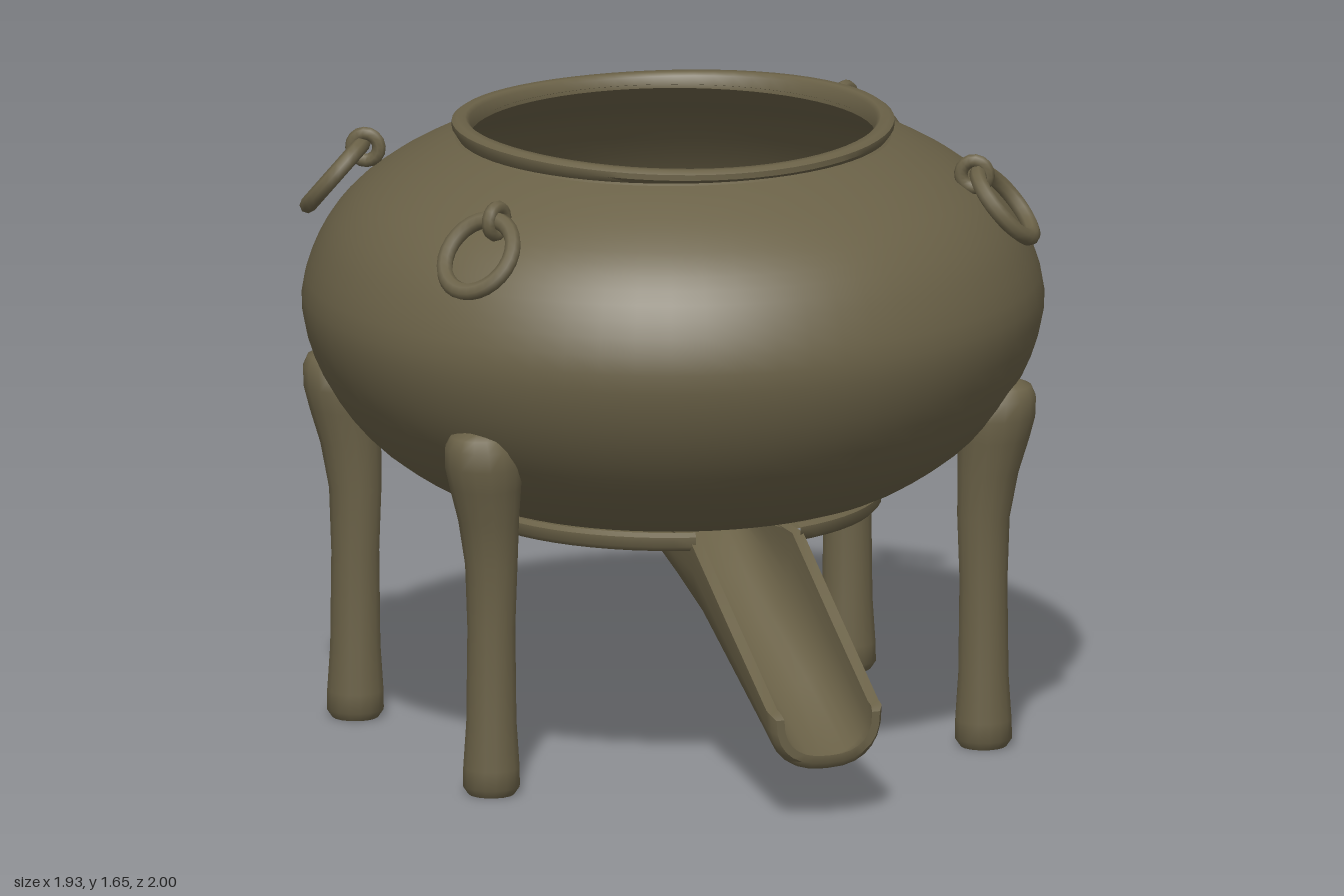
import * as THREE from 'three';
import { toCreasedNormals } from 'three/addons/utils/BufferGeometryUtils.js';

const bronze = new THREE.MeshStandardMaterial({ color: 0x6a6147 });
bronze.name = 'agedBronze';
const CENTRE_Z = -0.05;

function part(name, geometry, parent) {
  const mesh = new THREE.Mesh(geometry, bronze);
  mesh.name = name;
  parent.add(mesh);
  return mesh;
}

const vec2 = (pairs) => pairs.map(([x, y]) => new THREE.Vector2(x, y));
const curve = (pairs, n) => new THREE.SplineCurve(vec2(pairs)).getPoints(n);

// Joins closed rings of points into one skin
function loft(rings, extraFaces = []) {
  const n = rings[0].length, index = [...extraFaces];
  for (let j = 0; j < rings.length - 1; j++) {
    for (let i = 0; i < n; i++) {
      const k = (i + 1) % n;
      const a = j * n + i, b = j * n + k, c = b + n, d = a + n;
      index.push(a, b, c, a, c, d);
    }
  }
  const geo = new THREE.BufferGeometry();
  geo.setAttribute('position', new THREE.Float32BufferAttribute(rings.flat(2), 3));
  geo.setIndex(index);
  return toCreasedNormals(geo, 0.8);
}

// Bowl: outer wall, inner wall and a slightly saddle-shaped rim
function addBowl(parent) {
  const bowl = new THREE.Group();
  bowl.name = 'bowl';
  bowl.position.z = CENTRE_Z;
  bowl.scale.z = 0.985;
  parent.add(bowl);

  const outer = curve([[0.001, 0.648], [0.3, 0.65], [0.52, 0.668], [0.66, 0.725], [0.81, 0.84],
    [0.92, 1.0], [0.965, 1.17], [0.925, 1.32], [0.85, 1.43], [0.75, 1.51], [0.64, 1.57], [0.555, 1.605]], 36);
  part('outerWall', new THREE.LatheGeometry(outer, 64), bowl);

  const inner = curve([[0.527, 1.61], [0.62, 1.545], [0.74, 1.465], [0.87, 1.3], [0.915, 1.17],
    [0.87, 1.0], [0.76, 0.86], [0.6, 0.75], [0.4, 0.695], [0.001, 0.68]], 30);
  part('innerWall', new THREE.LatheGeometry(inner, 64), bowl);

  const rim = new THREE.LatheGeometry(vec2([[0.59, 1.585], [0.56, 1.605], [0.575, 1.622], [0.575, 1.637],
    [0.562, 1.646], [0.54, 1.646], [0.53, 1.637], [0.527, 1.6]]), 64);
  const p = rim.attributes.position;
  for (let i = 0; i < p.count; i++) {
    if (p.getY(i) < 1.61) continue;
    const angle = Math.atan2(p.getZ(i), p.getX(i));
    p.setY(i, p.getY(i) + 0.008 * Math.cos(2 * angle));
  }
  part('rim', toCreasedNormals(rim, 0.8), bowl);
}

// Shallow tray under the bowl, open where the spout leaves it
function addTray(parent) {
  const gap = 0.27;
  const profile = vec2([[0.001, 0.612], [0.48, 0.615], [0.535, 0.617], [0.548, 0.63], [0.548, 0.655],
    [0.535, 0.665], [0.515, 0.66], [0.505, 0.64], [0.001, 0.636]]);
  const geo = new THREE.LatheGeometry(profile, 56, gap, Math.PI * 2 - gap * 2);
  part('tray', toCreasedNormals(geo, 0.8), parent).position.z = CENTRE_Z - 0.02;
}

// Open U-shaped channel running forward and down
function addSpout(parent) {
  const steps = 14;
  // z, top edge y, bottom y, half width, wall thickness
  const stations = [[-0.05, 0.635, 0.61, 0.13, 0.01], [0.1, 0.64, 0.557, 0.15, 0.025],
    [0.28, 0.645, 0.468, 0.155, 0.03], [0.45, 0.64, 0.386, 0.157, 0.03], [0.7, 0.475, 0.268, 0.157, 0.03],
    [0.96, 0.307, 0.143, 0.157, 0.03], [0.985, 0.3, 0.145, 0.156, 0.03], [1.0, 0.287, 0.162, 0.145, 0.022]];
  const rings = stations.map(([z, top, bottom, w, t]) => {
    const side = (width, depth) => Array.from({ length: steps + 1 }, (_, i) => {
      const a = Math.PI * (1 + i / steps);
      const s = Math.sin(a), c = Math.cos(a);
      return [width * Math.sign(c) * Math.abs(c) ** 0.8, top - depth * Math.abs(s) ** 0.8, z];
    });
    return [...side(w, top - bottom), ...side(w - t, top - bottom - t * 0.9).reverse()];
  });
  // End faces between the outer and inner outlines
  const n = rings[0].length, last = (rings.length - 1) * n, caps = [];
  for (let i = 0; i < steps; i++) {
    const o = i, o2 = i + 1, q = n - 1 - i, q2 = n - 2 - i;
    caps.push(last + o, last + o2, last + q2, last + o, last + q2, last + q);
    caps.push(o, q2, o2, o, q, q2);
  }
  part('spout', loft(rings, caps), parent);
}

// Leg with a rounded foot and a shoulder leaning against the bowl
function legGeometry() {
  // y, outward shift, radius
  const rows = [[0.008, 0, 0.001], [0.008, 0, 0.06], [0.03, 0, 0.075], [0.08, 0, 0.074], [0.2, 0, 0.066],
    [0.45, 0, 0.063], [0.62, 0, 0.069], [0.74, 0.012, 0.08], [0.83, 0.026, 0.094], [0.89, 0.033, 0.103],
    [0.94, 0.04, 0.098], [0.97, 0.045, 0.08], [0.985, 0.045, 0.045], [0.987, 0.045, 0.001]];
  return loft(rows.map(([y, shift, r]) => Array.from({ length: 16 }, (_, i) => {
    const a = (i / 16) * Math.PI * 2;
    return [shift + r * Math.cos(a), y, -r * Math.sin(a)];
  })));
}

function addLegs(parent) {
  const geo = legGeometry();
  for (const side of [1, -1]) {
    for (const [name, z] of [['front', 0.385], ['back', -0.535]]) {
      const leg = part(name + (side > 0 ? 'Left' : 'Right') + 'Leg', geo, parent);
      leg.position.set(side * 0.69, 0, z);
      leg.rotation.y = Math.atan2(-(z - CENTRE_Z), side * 0.69);
    }
  }
}

// Ring handles hanging from small loops on the shoulder
function addHandles(parent) {
  const ringGeo = new THREE.TorusGeometry(0.102, 0.022, 8, 28);
  ringGeo.scale(0.95, 1.05, 1);
  const loopGeo = new THREE.TorusGeometry(0.036, 0.018, 8, 16);
  for (const side of [1, -1]) {
    for (const [name, z] of [['front', 0.415], ['back', -0.555]]) {
      const handle = new THREE.Group();
      handle.name = name + (side > 0 ? 'Left' : 'Right') + 'Handle';
      handle.position.set(side * 0.738, 1.452, z);
      handle.rotation.order = 'YXZ';
      handle.rotation.y = Math.atan2(side * 0.738, z - CENTRE_Z);
      handle.rotation.x = -0.7;
      part('ring', ringGeo, handle);
      const loop = part('loop', loopGeo, handle);
      loop.position.set(0, 0.11, -0.012);
      loop.rotation.y = Math.PI / 2;
      parent.add(handle);
    }
  }
}

export function createModel() {
  const model = new THREE.Group();
  model.name = 'footedCauldron';
  addBowl(model);
  addTray(model);
  addSpout(model);
  addLegs(model);
  addHandles(model);
  return model;
}
